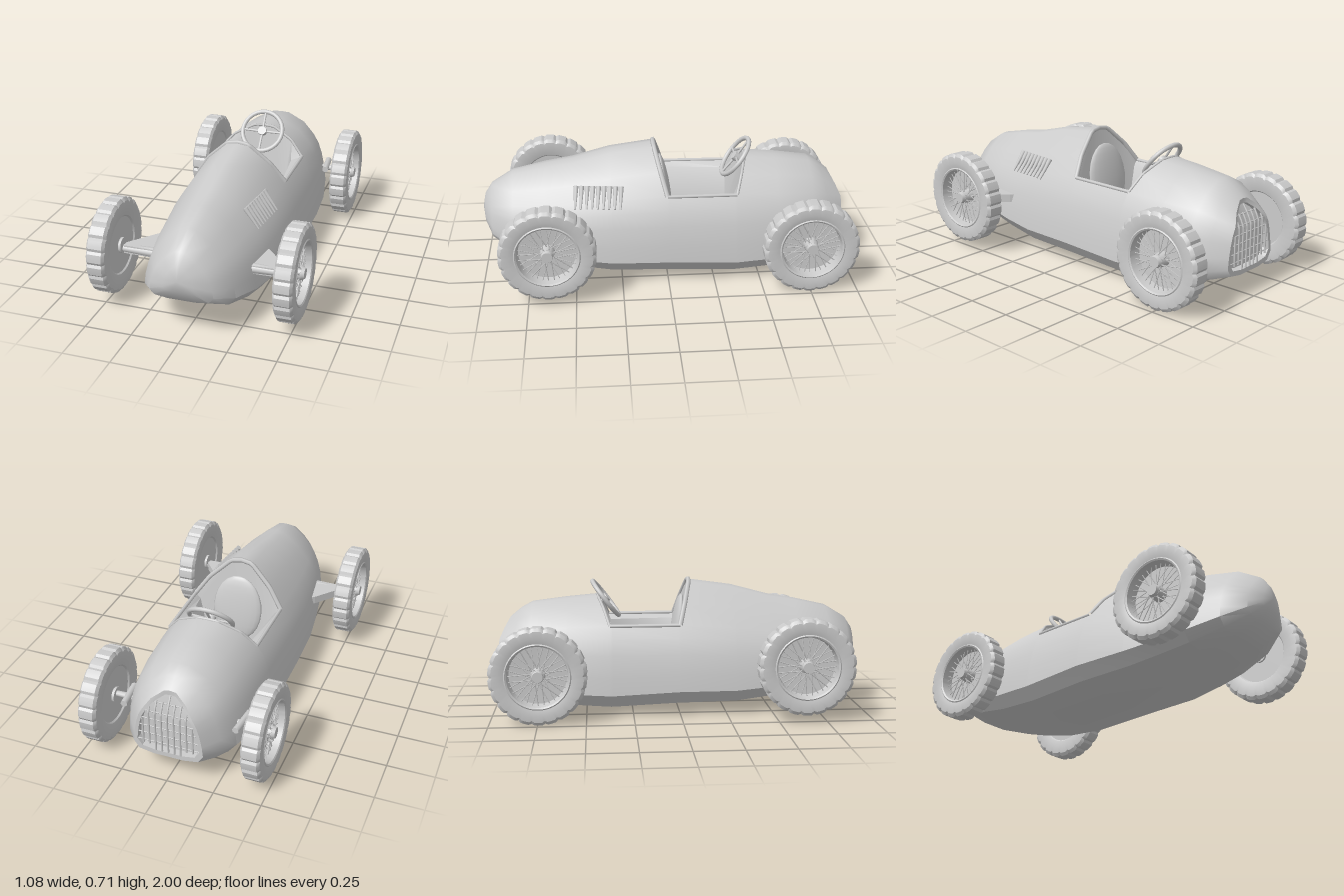
import * as THREE from 'three';
import { toCreasedNormals } from 'three/addons/utils/BufferGeometryUtils.js';

const mat = new THREE.MeshStandardMaterial({ color: 0xcccccc });
const V = (x, y, z) => new THREE.Vector3(x, y, z);

function add(parent, name, geometry) {
  const mesh = new THREE.Mesh(geometry, mat);
  mesh.name = name;
  parent.add(mesh);
  return mesh;
}

// Straight rod between two points
function rod(parent, name, a, b, r, sides = 6, r2 = r) {
  const m = add(parent, name, new THREE.CylinderGeometry(r2, r, a.distanceTo(b), sides));
  m.position.copy(a).lerp(b, 0.5);
  m.quaternion.setFromUnitVectors(V(0, 1, 0), b.clone().sub(a).normalize());
  return m;
}

// Bent rod through points, straight between them
function bentRod(parent, name, points, r) {
  const path = new THREE.CurvePath();
  for (let i = 1; i < points.length; i++) path.add(new THREE.LineCurve3(points[i - 1], points[i]));
  return add(parent, name, new THREE.TubeGeometry(path, points.length * 4, r, 6));
}

// Half cross-section: fraction of width, fraction of height, bottom to top
const TEMPLATE = [[0, 0], [0.43, 0], [0.85, 0.035], [1, 0.14], [0.97, 0.28], [0.9, 0.44],
  [0.82, 0.56], [0.71, 0.66], [0.5, 0.82], [0.17, 0.985], [0, 1]];

// Station: z, half width, bottom, top, fullness of shoulders, lean of upper part, cockpit floor half width
function section([z, w, yb, yt, full = 0, lean = 0, floor = 0]) {
  const pts = TEMPLATE.map(([u, t]) => V(u * w,
    yb + (yt - yb) * (t + full * 4 * t * t * (1 - t)), z + lean * Math.max(0, (t - 0.65) / 0.35)));
  if (floor) {
    pts[8].set(floor + 0.045, 0.45, z);
    pts[9].set(floor, 0.22, z);
    pts[10].set(0, 0.2, z);
  }
  return pts;
}

const SEAT_BACK = [0, 0.35, 0.045, 0.7, 0, 0.065];
const COWL = [-0.37, 0.345, 0.03, 0.62, 0.16, -0.065];
const GRILLE = [-0.965, 0.165, 0.155, 0.475, 0.1, 0.055];
const STATIONS = [
  [1, 0, 0.345, 0.345], [0.985, 0.08, 0.28, 0.42], [0.945, 0.165, 0.215, 0.48],
  [0.83, 0.24, 0.15, 0.55], [0.65, 0.29, 0.1, 0.59], [0.5, 0.315, 0.075, 0.615],
  [0.3, 0.34, 0.05, 0.668], SEAT_BACK,
  [-0.005, 0.35, 0.045, 0.7, 0, 0, 0.175], [-0.36, 0.345, 0.03, 0.62, 0.16, 0, 0.14], COWL,
  [-0.6, 0.33, 0.045, 0.605, 0.16], [-0.79, 0.295, 0.085, 0.582, 0.15],
  [-0.88, 0.25, 0.105, 0.55, 0.12, 0.03], [-0.965, 0.185, 0.13, 0.5, 0.1, 0.055],
  GRILLE, [-0.925, 0.165, 0.155, 0.475, 0.1, 0.055], [-0.92, 0, 0.3, 0.3],
];

function bodyGeometry() {
  const pos = [], index = [], n = 20;
  for (const s of STATIONS) {
    const half = section(s);
    for (let j = 0; j < n; j++) {
      const p = half[j <= 10 ? j : n - j];
      pos.push(j <= 10 ? p.x : -p.x, p.y, p.z);
    }
  }
  for (let i = 0; i < STATIONS.length - 1; i++) {
    for (let j = 0; j < n; j++) {
      const a = i * n + j, b = i * n + (j + 1) % n;
      index.push(a, a + n, b, b, a + n, b + n);
    }
  }
  const g = new THREE.BufferGeometry();
  g.setAttribute('position', new THREE.Float32BufferAttribute(pos, 3));
  g.setIndex(index);
  return toCreasedNormals(g, 0.7);
}

// Wheel with axis along x, spoked face towards +x
function makeWheel(name) {
  const wheel = new THREE.Group();
  wheel.name = name;
  const profile = [[0, -0.036], [0.15, -0.036], [0.157, -0.044], [0.2, -0.053], [0.236, -0.05], [0.253, -0.038],
    [0.253, 0.038], [0.236, 0.05], [0.2, 0.053], [0.172, 0.046], [0.166, 0.05], [0.158, 0.045], [0.15, -0.015], [0, -0.022]];
  const tyre = new THREE.LatheGeometry(profile.map(([r, a]) => new THREE.Vector2(r, a)), 110);
  // Cut a groove across the tread at every fifth segment
  const p = tyre.attributes.position, count = profile.length;
  for (let i = 0; i < p.count; i++) {
    if (Math.floor(i / count) % 5 === 0 && profile[i % count][0] > 0.23) {
      p.setX(i, p.getX(i) * 0.965);
      p.setZ(i, p.getZ(i) * 0.965);
    }
  }
  tyre.rotateZ(-Math.PI / 2);
  add(wheel, 'tyre', toCreasedNormals(tyre, 0.5));
  rod(wheel, 'hub', V(-0.05, 0, 0), V(0.035, 0, 0), 0.042, 20, 0.034);
  rod(wheel, 'hubCap', V(0.03, 0, 0), V(0.052, 0, 0), 0.034, 16, 0.028);
  // Two layers of crossed wire spokes
  for (let i = 0; i < 32; i++) {
    const a = i / 32 * Math.PI * 2, b = a + (i % 2 ? 0.4 : -0.4), x = i % 4 < 2 ? 0.03 : 0;
    rod(wheel, 'spoke', V(x, 0.035 * Math.cos(b), 0.035 * Math.sin(b)),
      V(0.012, 0.155 * Math.cos(a), 0.155 * Math.sin(a)), 0.0027, 4);
  }
  return wheel;
}

function makeSteeringWheel() {
  const g = new THREE.Group();
  g.name = 'steeringWheel';
  add(g, 'steeringRim', new THREE.TorusGeometry(0.118, 0.013, 8, 28));
  for (let i = 0; i < 4; i++) {
    const a = i * Math.PI / 2;
    rod(g, 'steeringSpoke', V(0, 0, -0.005), V(Math.cos(a) * 0.116, Math.sin(a) * 0.116, 0), 0.007);
  }
  rod(g, 'steeringHub', V(0, 0, -0.015), V(0, 0, 0.012), 0.025, 14);
  rod(g, 'steeringColumn', V(0, 0, -0.17), V(0, 0, 0), 0.012, 8);
  g.position.set(0, 0.597, -0.39);
  g.rotation.x = -0.65;
  return g;
}

export function createModel() {
  const car = new THREE.Group();
  car.name = 'racingCar';
  add(car, 'body', bodyGeometry());

  // Raised lip around the cockpit
  const back = section(SEAT_BACK).slice(7), front = section(COWL).slice(7);
  const flip = v => V(-v.x, v.y, v.z);
  const mirrored = pts => [...pts, ...pts.slice(0, -1).reverse().map(flip)];
  bentRod(car, 'seatBackLip', mirrored(back), 0.013);
  bentRod(car, 'cowlLip', mirrored(front), 0.008);
  for (const f of [v => v.clone(), flip]) bentRod(car, 'sideLip', [f(back[0]), f(front[0])], 0.01);

  // Padded seat
  const seat = add(car, 'seatCushion', new THREE.CylinderGeometry(0.15, 0.16, 0.06, 20));
  seat.scale.z = 0.8;
  seat.position.set(0, 0.235, -0.14);
  const pad = add(car, 'seatBackPad', new THREE.SphereGeometry(1, 20, 12));
  pad.scale.set(0.14, 0.19, 0.03);
  pad.position.set(0, 0.43, 0.0);
  pad.rotation.x = 0.15;
  car.add(makeSteeringWheel());

  // Grille bars following the arched nose opening
  const arch = section(GRILLE);
  const at = y => {
    const i = Math.max(2, arch.findIndex(p => p.y >= y));
    return arch[i - 1].clone().lerp(arch[i], THREE.MathUtils.clamp((y - arch[i - 1].y) / (arch[i].y - arch[i - 1].y), 0, 1));
  };
  for (let k = 1; k <= 6; k++) {
    const p = at(0.155 + k * 0.046);
    rod(car, 'grilleCrossBar', V(-p.x, p.y, p.z + 0.008), V(p.x, p.y, p.z + 0.008), 0.0035);
  }
  for (let k = -4; k <= 4; k++) {
    const pts = [];
    for (let y = 0.157; y < 0.474; y += 0.0315) {
      const p = at(y);
      if (p.x >= Math.abs(k) * 0.033) pts.push(V(k * 0.033, y, p.z));
    }
    if (pts.length > 1) bentRod(car, 'grilleBar', pts, 0.005);
  }

  // Louvres on the left flank only
  for (let i = 0; i < 9; i++) {
    const z = 0.25 + i * 0.03, dx = (0.25 - z) * 0.11;
    rod(car, 'louvre', V(0.278 + dx, 0.425, z + 0.004), V(0.203 + dx, 0.525, z - 0.004), 0.005, 8, 0.014);
  }

  // Wheels, axles and arms on both sides
  const armShape = new THREE.Shape([[0.25, -0.42], [0.31, -0.47], [0.43, -0.615], [0.43, -0.65], [0.25, -0.655]]
    .map(([x, y]) => new THREE.Vector2(x, y)));
  for (const side of [1, -1]) {
    const half = new THREE.Group();
    half.name = side > 0 ? 'leftRunningGear' : 'rightRunningGear';
    half.rotation.y = side > 0 ? 0 : Math.PI;
    for (const [name, x, y, z] of [['tailWheel', 0.485, 0.293, 0.64], ['noseWheel', 0.433, 0.255, -0.745]]) {
      const wheel = makeWheel(name);
      wheel.position.set(x, y, z * side);
      half.add(wheel);
    }
    rod(half, 'noseAxle', V(0.2, 0.265, -0.745 * side), V(0.4, 0.265, -0.745 * side), 0.02, 10, 0.015);
    rod(half, 'noseBracket', V(0.302, 0.28, -0.83 * side), V(0.318, 0.28, -0.67 * side), 0.018, 8);
    rod(half, 'tailAxle', V(0.2, 0.275, 0.635 * side), V(0.45, 0.275, 0.635 * side), 0.03, 10, 0.02);
    const arm = add(half, 'tailArm', new THREE.ExtrudeGeometry(armShape, { depth: 0.045, bevelEnabled: false }));
    arm.geometry.rotateX(-Math.PI / 2);
    if (side < 0) arm.geometry.rotateX(Math.PI);
    arm.position.y = side > 0 ? 0.253 : 0.298;
    car.add(half);
  }
  return car;
}
